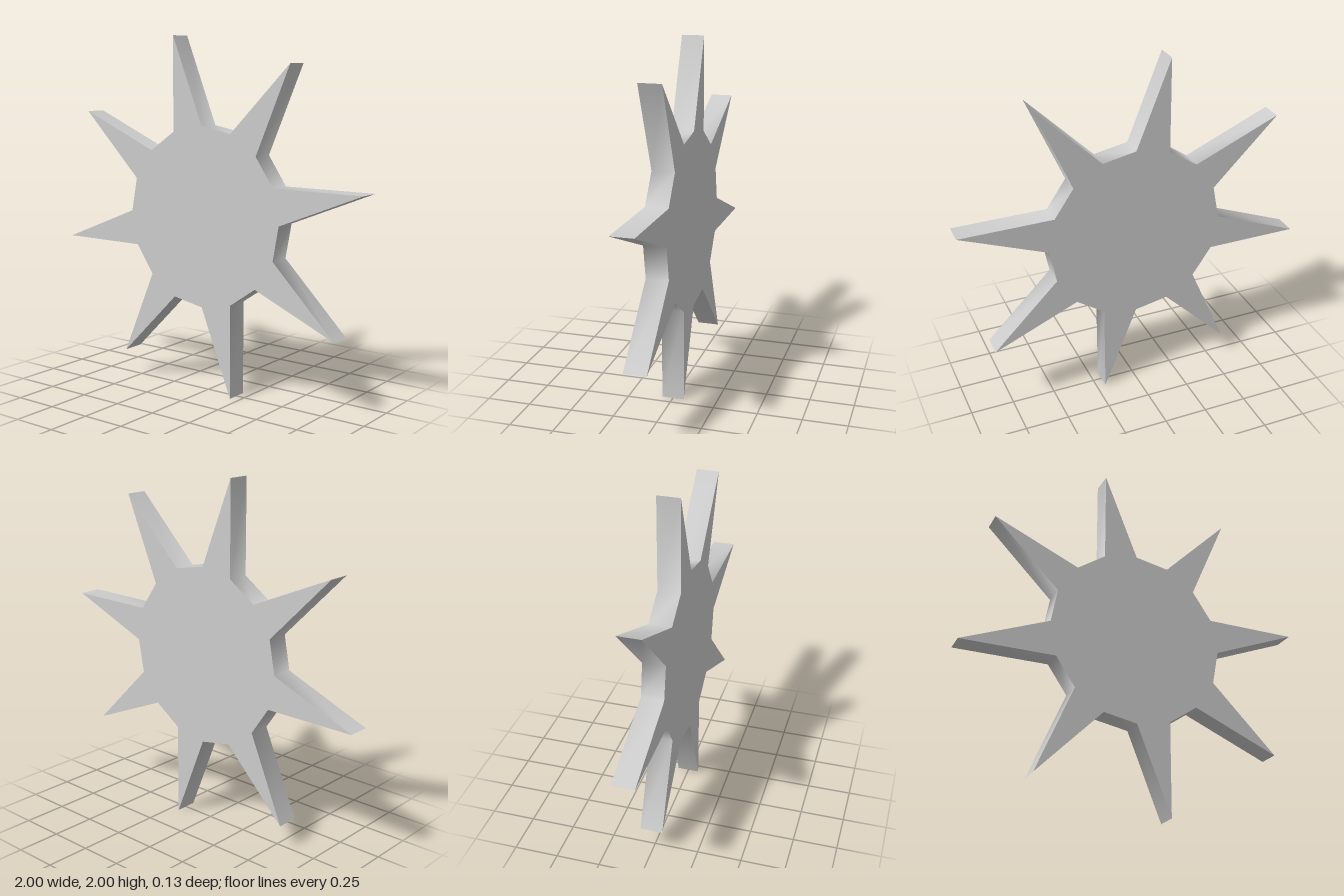
import * as THREE from 'three';
import { toCreasedNormals } from 'three/addons/utils/BufferGeometryUtils.js';

const SPIKES = 8;
const THICKNESS = 0.127;

export function createModel() {
  const group = new THREE.Group();
  group.name = 'throwingStar';

  // One slanted spike: hub valley, tip, straight trailing edge back to the hub
  const spike = [
    new THREE.Vector2(0.507, 0),
    new THREE.Vector2(1, 0.197),
    new THREE.Vector2(0.469, 0.197),
  ];

  // Repeat the spike around the hub to form the outline
  const outline = [];
  const centre = new THREE.Vector2();
  for (let i = 0; i < SPIKES; i++) {
    const angle = (i / SPIKES) * Math.PI * 2;
    for (const p of spike) outline.push(p.clone().rotateAround(centre, angle));
  }

  // Flat plate, smooth across the hub valleys and sharp at tips and faces
  const plate = new THREE.ExtrudeGeometry(new THREE.Shape(outline), {
    depth: THICKNESS,
    bevelEnabled: false,
  });
  plate.translate(0, 1, -THICKNESS / 2);

  const star = new THREE.Mesh(
    toCreasedNormals(plate, THREE.MathUtils.degToRad(62)),
    new THREE.MeshStandardMaterial({ color: 0xcccccc })
  );
  star.name = 'spikedPlate';
  group.add(star);
  return group;
}
